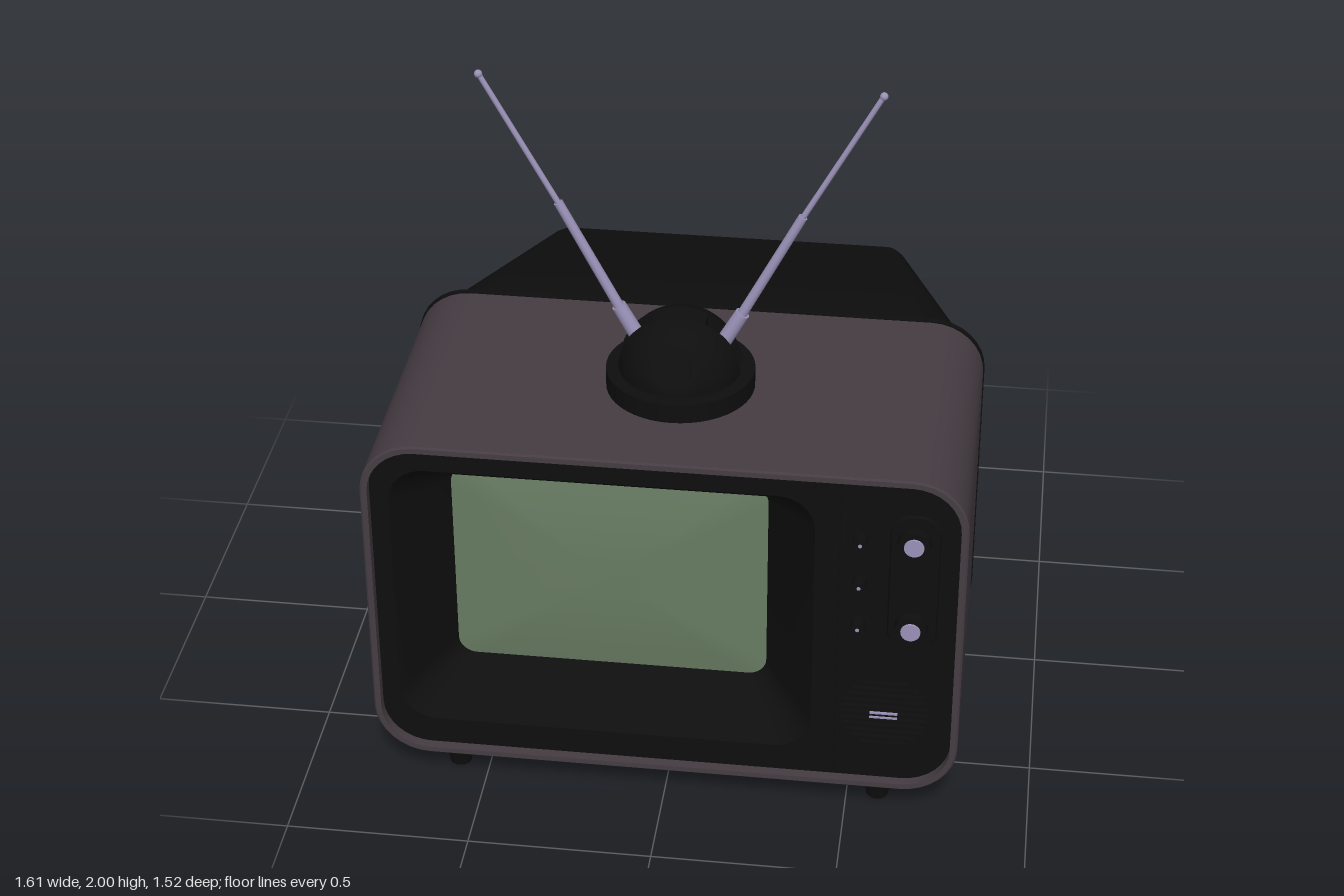
import * as THREE from 'three';
import { toCreasedNormals } from 'three/addons/utils/BufferGeometryUtils.js';

const material = (name, color) => {
  const m = new THREE.MeshStandardMaterial({ color });
  m.name = name;
  return m;
};

// Rounded rectangle as a counter-clockwise ring of points at depth z
function ring(x0, x1, y0, y1, r, z, n = 8) {
  const pts = [];
  const corners = [[x1 - r, y1 - r], [x0 + r, y1 - r], [x0 + r, y0 + r], [x1 - r, y0 + r]];
  corners.forEach(([cx, cy], c) => {
    for (let i = 0; i <= n; i++) {
      const a = (c + i / n) * Math.PI / 2;
      pts.push([cx + r * Math.cos(a), cy + r * Math.sin(a), z]);
    }
  });
  return pts;
}

// Skin joining rings in order, with optional flat ends
function loft(rings, capStart = false, capEnd = false) {
  const n = rings[0].length, index = [];
  rings.slice(1).forEach((_, k) => {
    for (let i = 0; i < n; i++) {
      const j = (i + 1) % n, a = k * n, b = a + n;
      index.push(a + i, a + j, b + j, a + i, b + j, b + i);
    }
  });
  const last = (rings.length - 1) * n;
  for (let i = 1; i < n - 1; i++) {
    if (capStart) index.push(0, i + 1, i);
    if (capEnd) index.push(last, last + i, last + i + 1);
  }
  const g = new THREE.BufferGeometry();
  g.setAttribute('position', new THREE.Float32BufferAttribute(rings.flat(2), 3));
  g.setIndex(index);
  return toCreasedNormals(g, 0.5);
}

export function createModel() {
  const group = new THREE.Group();
  const shell = material('shell brown', 0x453c42);
  const black = material('black plastic', 0x0e0e0e);
  const glass = material('screen green', 0x687c62);
  const metal = material('metal', 0x9a92b8);

  const add = (name, geometry, mat, x = 0, y = 0, z = 0) => {
    const mesh = new THREE.Mesh(geometry, mat);
    mesh.name = name;
    mesh.position.set(x, y, z);
    group.add(mesh);
    return mesh;
  };
  // Round part facing forward, from depth z0 to z1
  const disc = (name, r, x, y, z0, z1, mat) =>
    add(name, new THREE.CylinderGeometry(r, r * 1.06, z1 - z0, 24).rotateX(Math.PI / 2), mat, x, y, (z0 + z1) / 2);

  // Cabinet sleeve with a thin front rim
  add('cabinet', loft([
    ring(-0.8, 0.8, 0.09, 1.1, 0.15, -0.05),
    ring(-0.8, 0.8, 0.09, 1.1, 0.15, 0.745),
    ring(-0.795, 0.795, 0.095, 1.095, 0.145, 0.75),
    ring(-0.78, 0.78, 0.11, 1.08, 0.13, 0.75),
    ring(-0.78, 0.78, 0.11, 1.08, 0.13, 0.72),
  ], true), shell);

  // Front panel with a funnel down to the screen
  add('frontPanel', loft([
    ring(-0.78, 0.78, 0.11, 1.08, 0.13, 0.722),
    ring(-0.73, 0.4, 0.19, 1.01, 0.1, 0.722),
    ring(-0.715, 0.385, 0.205, 0.995, 0.09, 0.705),
    ring(-0.6, 0.26, 0.29, 0.91, 0.05, 0.54),
  ]), black);

  // Gently bulging screen
  const screenRings = [1, 0.8, 0.6, 0.4, 0.2].map((s) => ring(
    -0.17 - 0.432 * s, -0.17 + 0.432 * s, 0.6 - 0.312 * s, 0.6 + 0.312 * s,
    0.05 * s, 0.54 + 0.025 * (1 - s * s)));
  add('screen', loft(screenRings, false, true), glass);

  // Tapered rear housing and its lip
  add('rearHousing', loft([
    ring(-0.515, 0.515, 0.285, 0.915, 0.04, -0.765),
    ring(-0.53, 0.53, 0.268, 0.932, 0.05, -0.757),
    ring(-0.545, 0.545, 0.258, 0.942, 0.06, -0.73),
    ring(-0.782, 0.782, 0.105, 1.085, 0.14, -0.055),
  ], true), black);
  add('rearLip', loft([
    ring(-0.803, 0.803, 0.087, 1.103, 0.15, -0.065),
    ring(-0.803, 0.803, 0.087, 1.103, 0.15, -0.048),
  ], true, true), black);

  // Control strip: divider, knob plate, knobs and buttons
  add('divider', new THREE.BoxGeometry(0.012, 0.95, 0.012), black, 0.46, 0.595, 0.724);
  add('knobPlate', loft([
    ring(0.595, 0.73, 0.55, 0.98, 0.06, 0.72),
    ring(0.6, 0.725, 0.555, 0.975, 0.055, 0.73),
  ], false, true), black);
  for (const y of [0.9, 0.63]) {
    disc('knob', 0.043, 0.66, y, 0.72, 0.755, black);
    disc('knobCap', 0.026, 0.66, y, 0.75, 0.76, metal);
  }
  for (const y of [0.895, 0.76, 0.625]) {
    disc('button', 0.018, 0.52, y, 0.72, 0.757, black);
    disc('buttonDot', 0.005, 0.52, y, 0.755, 0.759, metal);
  }

  // Round speaker grille made of slats
  for (let i = -5; i <= 5; i++) {
    const dy = i * 0.02;
    const w = 2 * Math.sqrt(0.118 ** 2 - dy ** 2);
    add('speakerSlat', new THREE.BoxGeometry(w, 0.011, 0.014), black, 0.6, 0.33 + dy, 0.727);
  }
  for (const y of [0.324, 0.338]) {
    add('speakerTrim', new THREE.BoxGeometry(0.075, 0.005, 0.006), metal, 0.597, y, 0.735);
  }

  // Feet
  for (const x of [-0.585, 0.585]) {
    for (const z of [0.655, 0.05]) {
      add('foot', new THREE.CylinderGeometry(0.045, 0.03, 0.1, 24), black, x, 0.05, z);
    }
  }

  // Antenna base: plate, split dome with side slots, flat front button
  const R = 0.165, baseY = 1.155, baseZ = 0.35, slot = 0.028;
  add('antennaPlate', new THREE.CylinderGeometry(0.2, 0.2, 0.06, 48), black, 0, 1.125, baseZ);
  for (const side of [1, -1]) {
    const g = new THREE.SphereGeometry(R, 48, 20, 0, Math.PI * 2, 0, Math.PI / 2);
    const p = g.attributes.position;
    for (let i = 0; i < p.count; i++) {
      let y = p.getY(i), z = p.getZ(i);
      z = side * Math.max(side * z, slot);
      // slice the sloping flat on the front
      const over = 0.894 * z + 0.447 * y - 0.152;
      if (over > 0) { z -= over * 0.894; y -= over * 0.447; }
      p.setXYZ(i, p.getX(i), y, z);
    }
    add('antennaDome', toCreasedNormals(g, 0.5), black, 0, baseY, baseZ);
  }
  const core = new THREE.Shape();
  const edge = Math.acos(0.07 / R);
  core.moveTo(-0.07, 0);
  core.lineTo(0.07, 0);
  core.absarc(0, 0, R, edge, Math.PI - edge, false);
  add('domeCore', new THREE.ExtrudeGeometry(core, { depth: 2 * slot, bevelEnabled: false }), black, 0, baseY, baseZ - slot);
  const button = add('domeButton', new THREE.CylinderGeometry(0.045, 0.045, 0.008, 32), black,
    0, baseY + 0.447 * 0.154, baseZ + 0.894 * 0.154);
  button.rotation.x = Math.atan2(0.894, 0.447);

  // Telescopic rods
  const stages = [[0.088, 1.19, 0.165, 1.33, 0.022], [0.16, 1.32, 0.32, 1.63, 0.014], [0.318, 1.625, 0.518, 1.99, 0.008]];
  for (const s of [1, -1]) {
    for (const [x0, y0, x1, y1, r] of stages) {
      const rod = add('antennaRod', new THREE.CylinderGeometry(r * 0.9, r, Math.hypot(x1 - x0, y1 - y0), 16), metal,
        s * (x0 + x1) / 2, (y0 + y1) / 2, baseZ);
      rod.rotation.z = -s * Math.atan2(x1 - x0, y1 - y0);
    }
    add('antennaTip', new THREE.SphereGeometry(0.011, 12, 8), metal, s * 0.518, 1.989, baseZ);
  }
  return group;
}
